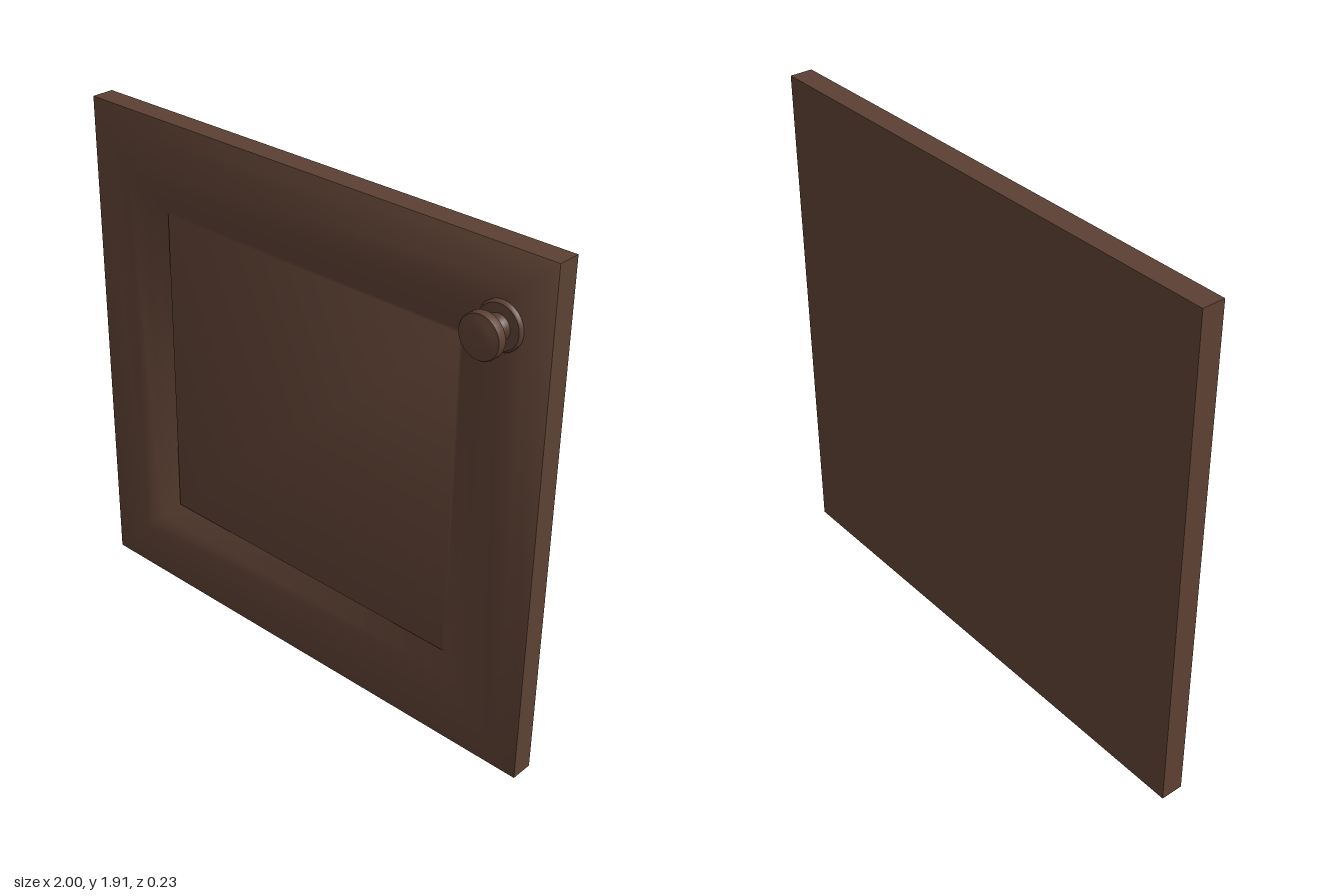
import * as THREE from 'three';

const W = 1, H = 1.91, BACK = -0.115, EDGE = -0.03;

// Front relief: rectangular loops of [inset, z, outward tilt of the normal]
const RELIEF = [
  [0, EDGE, 0.38], [0.075, 0, 0.2], [0.2, -0.002, -0.06],
  [0.275, -0.02, -0.28], [0.345, -0.058, -0.32], [0.35, -0.045, 0.22],
];
const CORNERS = [[-1, -1], [1, -1], [1, 1], [-1, 1]];

function reliefGeometry() {
  const pos = [], nor = [], idx = [];
  RELIEF.forEach(([inset, z, tilt], i) => {
    CORNERS.forEach(([sx, sy], c) => {
      pos.push(sx * (W - inset), H / 2 + sy * (H / 2 - inset), z);
      const n = new THREE.Vector3(sx * tilt, sy * tilt, 1).normalize();
      nor.push(n.x, n.y, n.z);
      if (i === 0) return;
      const d = (c + 1) % 4, a = (i - 1) * 4, b = i * 4;
      idx.push(a + c, a + d, b + d, a + c, b + d, b + c);
    });
  });
  // flat centre panel closes the last loop
  const l = (RELIEF.length - 1) * 4;
  idx.push(l, l + 1, l + 2, l, l + 2, l + 3);
  const g = new THREE.BufferGeometry();
  g.setAttribute('position', new THREE.Float32BufferAttribute(pos, 3));
  g.setAttribute('normal', new THREE.Float32BufferAttribute(nor, 3));
  g.setIndex(idx);
  return g;
}

// Slab behind the relief: four edges and the back, without a front face
function slabGeometry() {
  const g = new THREE.BoxGeometry(2 * W, H, EDGE - BACK);
  g.translate(0, H / 2, (EDGE + BACK) / 2);
  const index = Array.from(g.index.array);
  index.splice(24, 6);
  g.setIndex(index);
  g.clearGroups();
  return g;
}

export function createModel() {
  const model = new THREE.Group();
  model.name = 'cabinetDoor';
  const wood = new THREE.MeshStandardMaterial({ color: 0x5c4033 });
  wood.name = 'dark brown wood';

  const add = (name, geometry, parent = model) => {
    const mesh = new THREE.Mesh(geometry, wood);
    mesh.name = name;
    parent.add(mesh);
    return mesh;
  };
  add('doorSlab', slabGeometry());
  add('doorFrontRelief', reliefGeometry());

  // Turned knob, each section with its own crisp edges
  const knob = new THREE.Group();
  knob.name = 'knob';
  knob.position.set(0.834, 1.67, 0);
  knob.rotation.x = Math.PI / 2;
  model.add(knob);
  const turned = (name, profile) => add(name,
    new THREE.LatheGeometry(profile.map(([r, y]) => new THREE.Vector2(r, y)), 32), knob);

  turned('knobBaseRim', [[0.083, -0.01], [0.083, 0.008], [0.076, 0.014]]);
  turned('knobBaseFace', [[0.076, 0.014], [0.045, 0.016]]);
  turned('knobStem', [[0.045, 0.016], [0.036, 0.028], [0.033, 0.045], [0.036, 0.06], [0.046, 0.072]]);
  turned('knobHeadBack', [[0.046, 0.072], [0.075, 0.076]]);
  turned('knobHeadRim', [[0.075, 0.076], [0.077, 0.08], [0.077, 0.102], [0.074, 0.106]]);
  turned('knobHeadFace', [[0.074, 0.106], [0.06, 0.108], [0.045, 0.113], [0.025, 0.115], [0, 0.116]]);
  return model;
}
